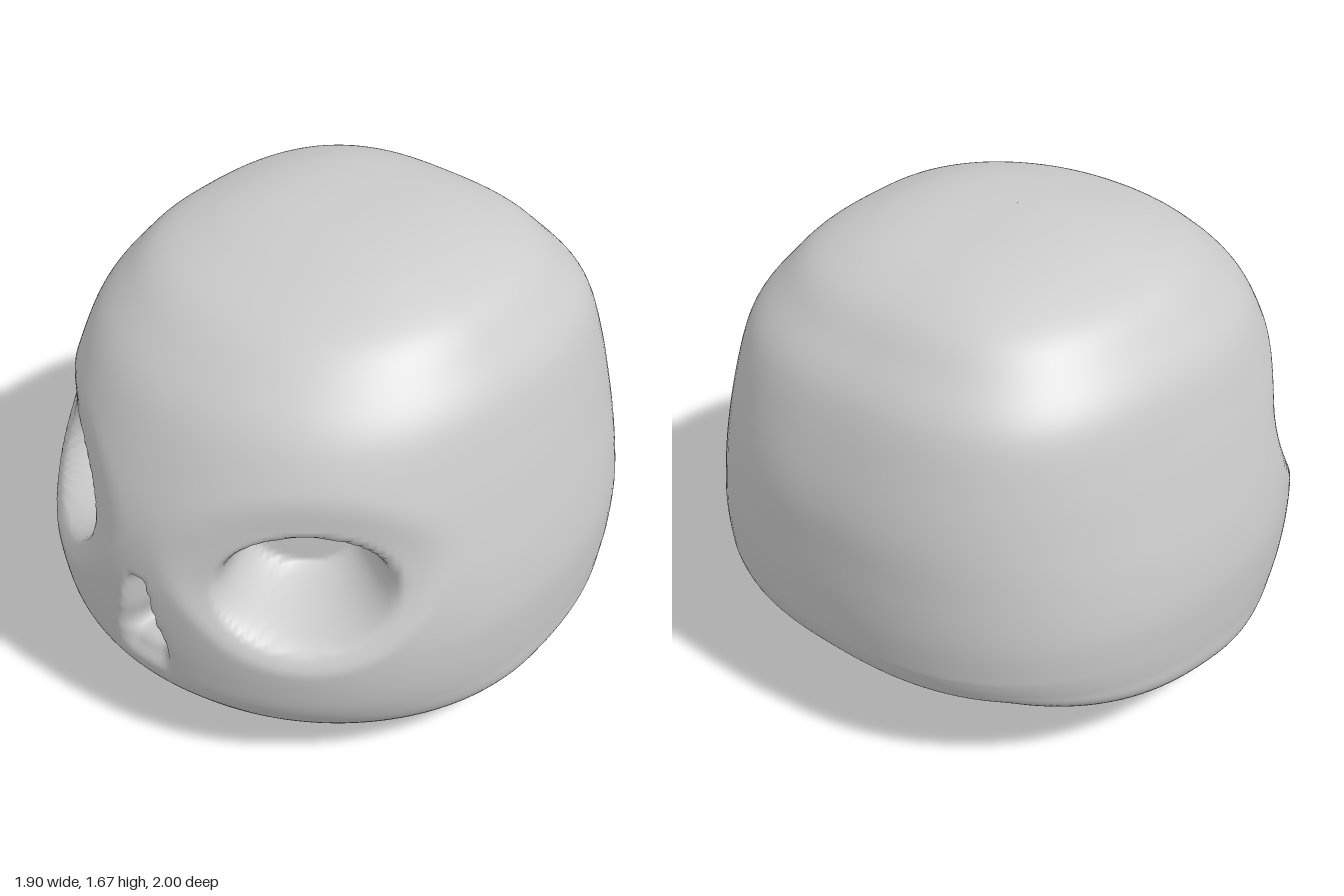
import * as THREE from 'three';
import { RoundedBoxGeometry } from 'three/addons/geometries/RoundedBoxGeometry.js';

const SEGMENTS = 200;
const { lerp, smoothstep, clamp } = THREE.MathUtils;

// Horizontal sections: height, half width, front z, back z
const SECTIONS = [
  [0.10, 0.80, 0.75, -0.80], [0.13, 0.85, 0.80, -0.87], [0.22, 0.92, 0.89, -0.935],
  [0.32, 0.935, 0.96, -0.965], [0.45, 0.945, 0.985, -0.985], [0.60, 0.948, 0.998, -1.0],
  [0.77, 0.925, 0.998, -1.0], [0.95, 0.885, 0.97, -0.99], [1.13, 0.84, 0.90, -0.945],
  [1.32, 0.78, 0.795, -0.87], [1.45, 0.69, 0.67, -0.765], [1.55, 0.59, 0.525, -0.66],
  [1.62, 0.43, 0.32, -0.51], [1.655, 0.28, 0.17, -0.34], [1.668, 0.13, 0.08, -0.15],
  [1.67, 0, 0, 0],
];
const curve = (a, b, c) => new THREE.CatmullRomCurve3(
  SECTIONS.map((s) => new THREE.Vector3(s[a], s[b], s[c])), false, 'catmullrom', 0.5);
const profile = curve(0, 2, 3);
const widths = curve(0, 1, 1);

// The underside curves up towards the back
const baseRise = (z) => Math.min(0.03 - 0.1 * z + 0.14 * z * z, 0.19) * (1 - smoothstep(z, 0.1, 0.8));

// Point on the undented cranium; angle 0 is the front
function craniumPoint(angle, t) {
  const { x: y, y: front, z: back } = profile.getPoint(t);
  const w = Math.max(widths.getPoint(t).y, 0.001);
  const s = Math.sin(angle), c = Math.cos(angle);
  const depth = Math.max(c > 0 ? front : -back, 0.001);
  // Rounder at the jaw, squarer at the back of the crown
  const n = c > 0 ? lerp(1.95, 2.1, smoothstep(y, 0.15, 0.5)) : lerp(2.5, 2.75, smoothstep(y, 0.9, 1.4));
  const r = (Math.abs(s / w) ** n + Math.abs(c / depth) ** n) ** (-1 / n);
  const p = new THREE.Vector3(r * s, y, r * c);
  p.y += baseRise(p.z) * clamp(1 - (y - 0.1) / 0.35, 0, 1);
  return p;
}

// Press a bowl-shaped eye socket into the surface, along an axis turned outwards
function dentSocket(p, side) {
  const ax = 0.64 * side, az = 0.77;
  const along = p.x * ax + p.z * az;
  if (along < 0.4) return;
  const u = (p.x * side * az - p.z * 0.64 + 0.08) / 0.3;
  const v = (p.y - 0.81) / 0.21;
  const q = Math.hypot(u, v);
  const reach = lerp(1.4, 1.8, smoothstep(v, -0.8, 0.8));
  const bevel = 0.05 * (1 - smoothstep(q, 0.85, reach));
  const hollow = 1 - smoothstep(q, 0.55, 1.05);
  const move = lerp(along - bevel, 0.61, hollow) - along;
  p.x += ax * move;
  p.z += az * move;
}

// Press in the nose opening, narrow at the top, with a shallow lip below
function dentNose(p) {
  if (p.z < 0.5) return;
  const half = lerp(0.09, 0.035, clamp((p.y - 0.48) / 0.27, 0, 1));
  const across = 1 - smoothstep(Math.abs(p.x), half * 0.35, half * 1.2);
  const upDown = smoothstep(p.y, 0.43, 0.52) * (1 - smoothstep(p.y, 0.71, 0.77));
  const lip = (1 - smoothstep(Math.abs(p.x), 0.05, 0.13))
    * smoothstep(p.y, 0.36, 0.44) * (1 - smoothstep(p.y, 0.48, 0.6));
  p.z -= 0.14 * across * upDown + 0.04 * lip;
}

// Closed loops stacked from row 0 to the last row; columns are denser at the front
function loopSurface(rows, pointAt) {
  const positions = [], index = [];
  for (let j = 0; j <= rows; j++) {
    for (let i = 0; i < SEGMENTS; i++) {
      const a = (i / SEGMENTS) * Math.PI * 2;
      const p = pointAt(a - 0.5 * Math.sin(a), j / rows);
      positions.push(p.x, p.y, p.z);
      if (j === rows) continue;
      const k = (i + 1) % SEGMENTS, lo = j * SEGMENTS, hi = lo + SEGMENTS;
      index.push(lo + i, lo + k, hi + k, lo + i, hi + k, hi + i);
    }
  }
  const geometry = new THREE.BufferGeometry();
  geometry.setAttribute('position', new THREE.Float32BufferAttribute(positions, 3));
  geometry.setIndex(index);
  geometry.computeVertexNormals();
  return geometry;
}

export function createModel() {
  const group = new THREE.Group();
  const material = new THREE.MeshStandardMaterial({ color: 0xcccccc });
  const add = (name, geometry) => {
    const mesh = new THREE.Mesh(geometry, material);
    mesh.name = name;
    group.add(mesh);
    return mesh;
  };

  // Cranium with sockets and nose opening
  add('cranium', loopSurface((SECTIONS.length - 1) * 9, (angle, t) => {
    const p = craniumPoint(angle, t);
    dentSocket(p, 1);
    dentSocket(p, -1);
    dentNose(p);
    return p;
  }));

  // Underside, hollowed inside a sharp rim
  add('skullBase', loopSurface(14, (angle, t) => {
    const p = craniumPoint(angle, 0);
    const f = Math.max(t, 0.001);
    p.x *= f;
    p.z *= f;
    p.y = 0.1 + baseRise(p.z) + 0.14 * (1 - f * f);
    return p;
  }));

  // Two remaining teeth, tapering downwards
  const teeth = [
    ['rightTooth', -0.075, 0.605, 0.19, 0.22, 0.12, 0],
    ['leftTooth', 0.415, 0.49, 0.18, 0.18, 0.13, 0.04],
  ];
  for (const [name, x, z, w, h, d, bottom] of teeth) {
    const geometry = new RoundedBoxGeometry(w, h, d, 3, 0.035);
    const pos = geometry.attributes.position;
    for (let i = 0; i < pos.count; i++) {
      const k = lerp(0.78, 1, clamp(pos.getY(i) / h + 0.5, 0, 1));
      pos.setX(i, pos.getX(i) * k);
      pos.setZ(i, pos.getZ(i) * k);
    }
    add(name, geometry).position.set(x, bottom + h / 2, z);
  }
  return group;
}
